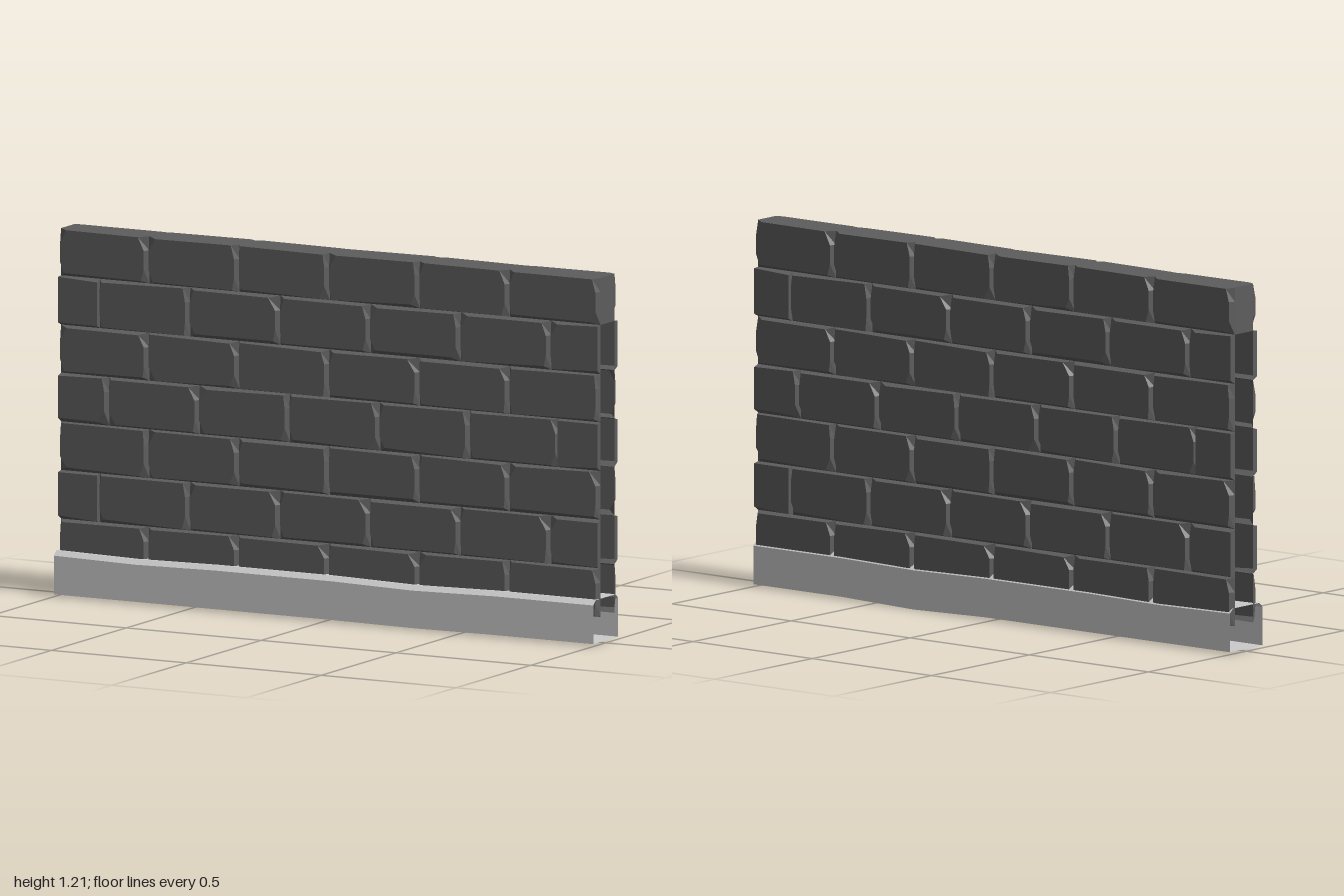
import * as THREE from 'three';
import { mergeGeometries } from 'three/addons/utils/BufferGeometryUtils.js';

const Z_BACK = 0.034, Z_FACE = 0.055;   // root and face of the front bricks
const Z_MID = -0.0125;                  // centre plane of the wall
const ROWS = [0.09, 0.25, 0.41, 0.57, 0.73, 0.888, 1.05, 1.205];

// small seeded generator for chipped brick corners
let seed = 7;
const rand = () => {
  seed = (seed * 16807) % 2147483647;
  return seed / 2147483647;
};

function fromTriangles(list) {
  const g = new THREE.BufferGeometry();
  g.setAttribute('position', new THREE.Float32BufferAttribute(list.flat(), 3));
  g.computeVertexNormals();
  return g;
}

// One brick: eight-point outline at the root, pulled in to a chipped face
function brick(x0, x1, y0, y1, left, right, top) {
  const h = y1 - y0;
  const chip = (b) => (b > 0 ? b + 0.004 + 0.024 * rand() ** 2 : 0);
  const lo = () => 0.004 + 0.011 * rand();
  const hi = () => top * (0.3 + 1.2 * rand());
  const root = [
    [x0, y0], [x1, y0], [x1, y0 + h * 0.3], [x1, y0 + h * 0.7],
    [x1, y1], [x0, y1], [x0, y0 + h * 0.7], [x0, y0 + h * 0.3],
  ];
  const inset = [
    [chip(left), lo()], [-chip(right), lo()], [-right, 0], [-right, 0],
    [-chip(right), -hi()], [chip(left), -hi()], [left, 0], [left, 0],
  ];
  const p = root.map(([x, y]) => [x, y, Z_BACK]);
  const q = root.map(([x, y], i) => [x + inset[i][0], y + inset[i][1], Z_FACE]);
  const tris = [];
  for (let i = 0; i < 8; i++) {
    const j = (i + 1) % 8;
    tris.push(p[i], p[j], q[j], p[i], q[j], q[i]);
    if (i > 0 && i < 7) tris.push(q[0], q[i], q[j]);
  }
  return fromTriangles(tris);
}

// Courses of bricks in running bond for one side of the wall
function brickFace() {
  const parts = [];
  for (let r = 0; r < 7; r++) {
    const start = r % 2 === 0 ? -0.673 : r === 3 ? -0.82 : -0.855;
    const joints = [-1];
    for (let x = start; x < 0.95; x += 0.3345) joints.push(x);
    joints.push(1);
    const n = joints.length - 1;
    for (let i = 0; i < n; i++) {
      // the short closing brick of each offset course is plain
      const plain = r % 2 === 1 && (r === 3 ? i === n - 1 : i === 0);
      const endBevel = r % 2 === 0 ? 0.008 : 0;
      const left = plain ? 0 : i === 0 ? endBevel : 0.009;
      const right = plain ? 0 : i === n - 1 ? endBevel : 0.009;
      parts.push(brick(joints[i], joints[i + 1], ROWS[r], ROWS[r + 1], left, right, r === 6 ? 0.003 : 0.006));
    }
  }
  return mergeGeometries(parts);
}

// Hollow base trim: chamfered section swept along x, with slight sags
function baseTrim() {
  const section = (x, top, bottom) => [
    [x, 0.008 - bottom * 0.3, 0.083], [x, 0.135 - top, 0.083], [x, 0.15 - top, 0.066],
    [x, 0.15 - top, -0.067], [x, 0.135 - top, -0.084], [x, 0.008 - bottom, -0.084],
  ];
  const rings = [
    [-1, 0, 0], [-0.7, 0.005, 0], [-0.4, 0, 0], [0.03, 0, 0], [0.33, 0.006, 0.008], [0.63, 0, 0], [1, 0, 0],
  ].map((r) => section(...r));
  const tris = [];
  for (let k = 0; k < rings.length - 1; k++) {
    const a = rings[k], b = rings[k + 1];
    for (let i = 0; i < 6; i++) {
      const j = (i + 1) % 6;
      tris.push(a[i], b[i], b[j], a[i], b[j], a[j]);
    }
  }
  return fromTriangles(tris);
}

export function createModel() {
  const model = new THREE.Group();
  model.name = 'brickWall';
  const stone = new THREE.MeshStandardMaterial({ color: 0x5d5d5d, flatShading: true, side: THREE.DoubleSide });
  const trim = new THREE.MeshStandardMaterial({ color: 0xcccccc, flatShading: true, side: THREE.DoubleSide });
  const add = (name, geometry, material) => {
    const mesh = new THREE.Mesh(geometry, material);
    mesh.name = name;
    model.add(mesh);
    return mesh;
  };

  // Two brick faces, the back one turned half way round
  const face = brickFace();
  add('frontBricks', face, stone);
  const back = add('backBricks', face, stone);
  back.rotation.y = Math.PI;
  back.position.z = 2 * Z_MID;

  // Solid core of the top course, closing the wall above and at its ends
  const depth = 2 * (Z_BACK - Z_MID);
  add('topCore', new THREE.BoxGeometry(2, 0.155, depth), stone).position.set(0, 1.1275, Z_MID);

  // Cross plate inside the hollow wall
  const plate = add('innerPlate', new THREE.PlaneGeometry(0.09, 0.08), stone);
  plate.rotation.y = Math.PI / 2;
  plate.position.set(0, 0.37, -0.015);

  // Open-ended skirting around the foot of the wall
  add('baseTrim', baseTrim(), trim);
  return model;
}
